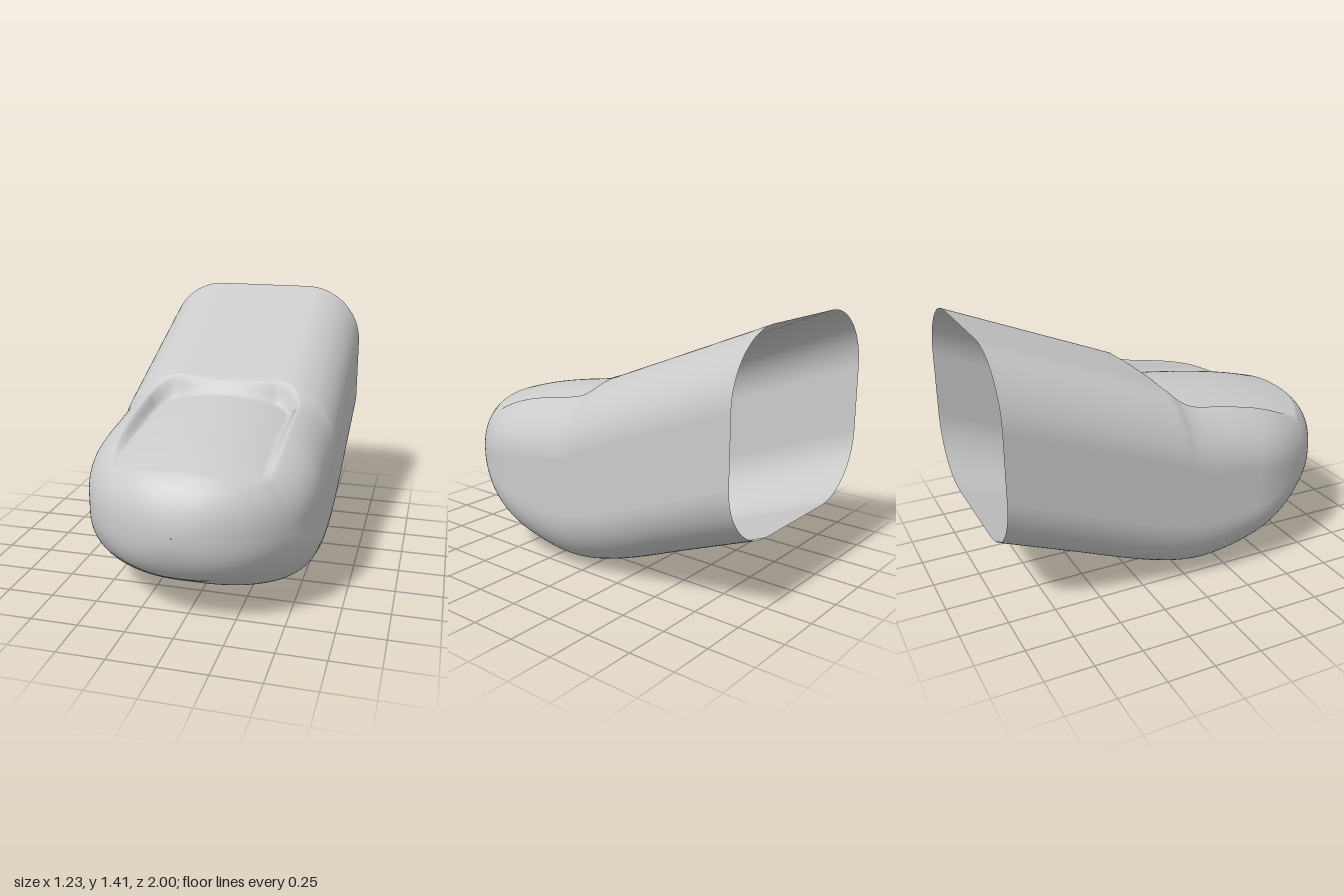
import * as THREE from 'three';

const { lerp, smoothstep } = THREE.MathUtils;

// Smooth function of z through [z, value] pairs
function profile(points) {
  const curve = new THREE.CubicInterpolant(
    new Float32Array(points.map(p => p[0])), new Float32Array(points.map(p => p[1])), 1);
  return z => curve.evaluate(z)[0];
}

const skinTop = profile([[-1, 1.415], [-0.5, 1.215], [-0.1, 1.055], [-0.04, 1.03], [0, 1.005], [0.07, 0.98],
  [0.15, 0.965], [0.35, 0.94], [0.55, 0.905], [0.7, 0.865], [0.78, 0.842], [0.86, 0.803]]);
const skinBottom = profile([[-1, 0.385], [-0.6, 0.227], [-0.2, 0.07], [0, 0.015], [0.15, 0.002],
  [0.4, 0.035], [0.6, 0.105], [0.8, 0.215], [0.86, 0.251]]);
const nailCrown = profile([[-1, 0.97], [-0.1, 0.962], [0.15, 0.94], [0.5, 0.89], [0.7, 0.85], [0.86, 0.805], [1, 0.76]]);

const TIP = 0.86, MID = 0.53;
const tipArc = z => Math.sqrt(Math.max(0, 1 - ((z - 0.7) / 0.3) ** 2));

// How far a point lies inside the nail bed: 0 on the skin, 1 on the nail
function nailMask(x, z) {
  const r = 0.15;
  const rear = -0.03 - 0.03 * Math.min(1, (x / 0.27) ** 2);
  const qx = Math.abs(x) - (0.43 - r), qz = rear + r - z;
  const d = Math.hypot(Math.max(qx, 0), Math.max(qz, 0)) + Math.min(Math.max(qx, qz), 0) - r;
  const front = 0.86 - 0.09 * (x / 0.41) ** 2;
  return smoothstep(-d, 0, 0.065) * (1 - smoothstep(z, front - 0.02, front + 0.005));
}

// One closed cross-section: top from -x to +x, then bottom back again
function section(z, nTop, nBottom) {
  const top = z < TIP ? skinTop(z) : MID + 0.323 * tipArc(z);
  const bottom = z < TIP ? skinBottom(z) : MID - 0.33 * tipArc(z);
  const w = 0.615 * Math.sqrt(Math.max(0, 1 - (Math.max(0, z - 0.385) / 0.615) ** 2));
  const f = smoothstep(z, 0.1, 0.9);
  const rx = Math.min(w, lerp(0.34, w, f)), ry = Math.min(0.34, (top - bottom) / 2);
  const e = 2 + 0.4 * f;
  const drop = x => {
    const k = Math.min(1, Math.max(0, Math.abs(x) - (w - rx)) / Math.max(rx, 1e-6));
    return ry * (1 - Math.pow(1 - Math.pow(k, e), 1 / e));
  };
  const ring = [];
  for (let i = 0; i <= nTop; i++) {
    const x = w * Math.sin(Math.PI * (i / nTop - 0.5));
    const nail = nailCrown(z) - 0.09 * (x / 0.41) ** 2;
    ring.push(x, lerp(top - drop(x), nail, nailMask(x, z)), z);
  }
  for (let i = 0; i <= nBottom; i++) {
    const x = w * Math.sin(Math.PI * (0.5 - i / nBottom));
    ring.push(x, bottom + drop(x), z);
  }
  return ring;
}

export function createModel() {
  const nTop = 140, nBottom = 60, count = nTop + nBottom + 2;

  // Rows are dense around the nail and bunch up towards the rounded tip
  const rows = [];
  for (let i = 0; i < 12; i++) rows.push(-1 + 0.9 * i / 12);
  for (let i = 0; i < 110; i++) rows.push(-0.1 + (TIP + 0.1) * i / 110);
  for (let i = 0; i <= 28; i++) rows.push(TIP + (0.99999 - TIP) * Math.sin(Math.PI / 2 * i / 28));

  const positions = rows.flatMap(z => section(z, nTop, nBottom));
  const index = [];
  for (let i = 0; i < rows.length - 1; i++) {
    for (let j = 0; j < count; j++) {
      const a = i * count + j, b = i * count + (j + 1) % count;
      index.push(a, a + count, b, b, a + count, b + count);
    }
  }
  const geometry = new THREE.BufferGeometry();
  geometry.setAttribute('position', new THREE.Float32BufferAttribute(positions, 3));
  geometry.setIndex(index);
  geometry.computeVertexNormals();

  // Hollow fingertip, open at the back, with the nail sunk into its top
  const fingertip = new THREE.Mesh(geometry,
    new THREE.MeshStandardMaterial({ color: 0xcccccc, side: THREE.DoubleSide }));
  fingertip.name = 'fingertip';

  const model = new THREE.Group();
  model.name = 'finger';
  model.add(fingertip);
  return model;
}
